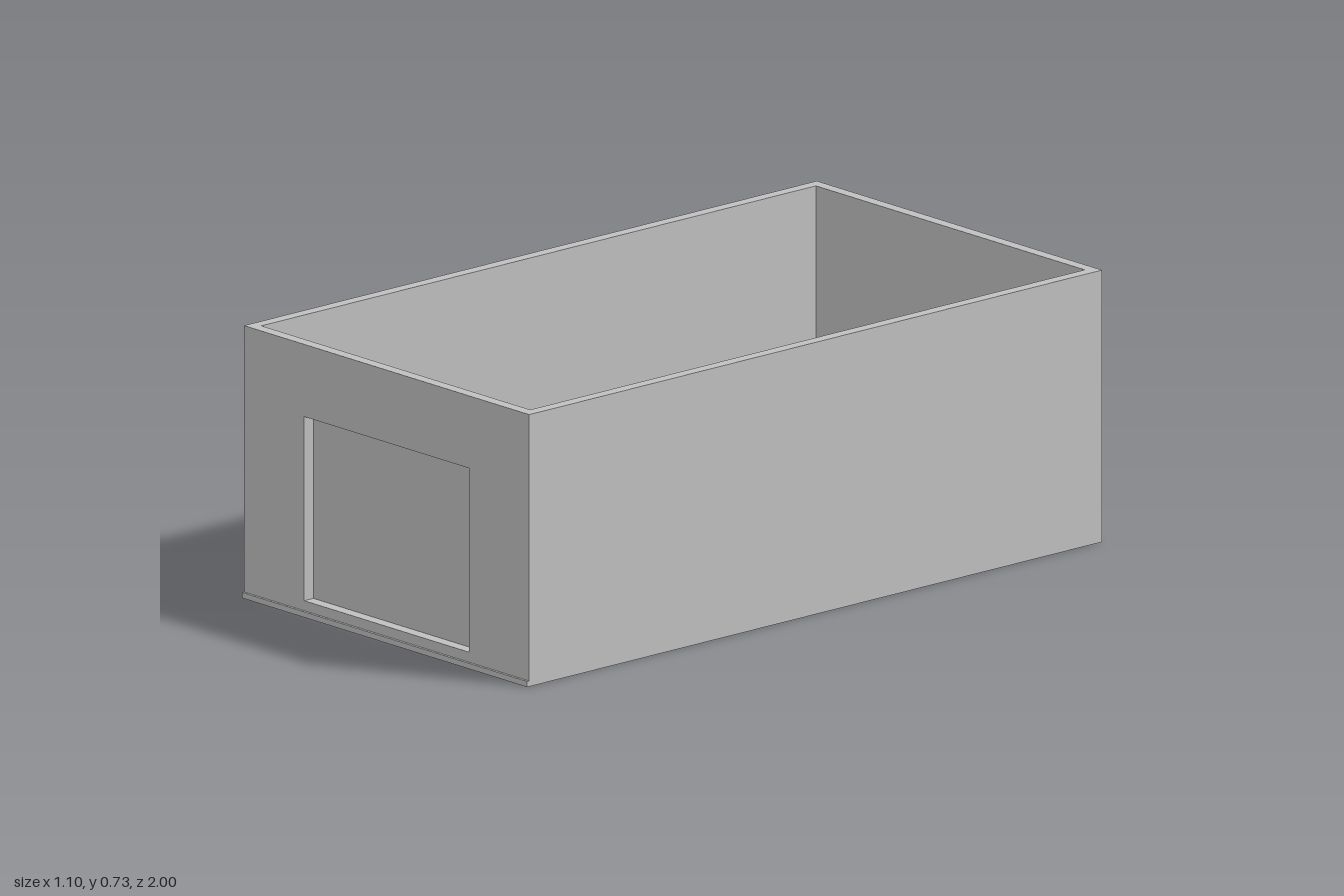
import * as THREE from 'three';

export function createModel() {
  const model = new THREE.Group();
  const grey = new THREE.MeshStandardMaterial({ color: 0xc0c0c0 });
  grey.name = 'plain grey';

  const W = 0.552, H = 0.733, T = 0.032; // half width, height, wall thickness
  const BACK = -1, FRONT = 0.993;

  const add = (name, geometry, x, y, z) => {
    const mesh = new THREE.Mesh(geometry, grey);
    mesh.name = name;
    mesh.position.set(x, y, z);
    model.add(mesh);
  };
  const rect = (path, x0, y0, x1, y1) =>
    path.moveTo(x0, y0).lineTo(x1, y0).lineTo(x1, y1).lineTo(x0, y1).closePath();

  // Side and back walls as one U-shaped plan, open to the front wall
  const plan = new THREE.Shape();
  const wallEnd = FRONT - T;
  plan.moveTo(-W, -wallEnd);
  plan.lineTo(-W + T, -wallEnd);
  plan.lineTo(-W + T, -BACK - T);
  plan.lineTo(W - T, -BACK - T);
  plan.lineTo(W - T, -wallEnd);
  plan.lineTo(W, -wallEnd);
  plan.lineTo(W, -BACK);
  plan.lineTo(-W, -BACK);
  plan.closePath();
  const walls = new THREE.ExtrudeGeometry(plan, { depth: H, bevelEnabled: false });
  walls.rotateX(-Math.PI / 2);
  add('sideAndBackWalls', walls, 0, 0, 0);

  // Front wall with the door opening
  const face = new THREE.Shape();
  rect(face, -W, 0, W, H);
  const opening = new THREE.Path();
  rect(opening, -0.319, 0.042, 0.319, 0.538);
  face.holes.push(opening);
  add('frontWall', new THREE.ExtrudeGeometry(face, { depth: T, bevelEnabled: false }), 0, 0, wallEnd);

  // Door panel set against the inside of the front wall
  add('doorPanel', new THREE.BoxGeometry(0.652, 0.51, 0.008), 0, 0.29, wallEnd - 0.004);

  // Thin sill along the foot of the front wall
  add('frontSill', new THREE.BoxGeometry(2 * W, 0.015, 1 - FRONT), 0, 0.0075, (1 + FRONT) / 2);

  return model;
}
